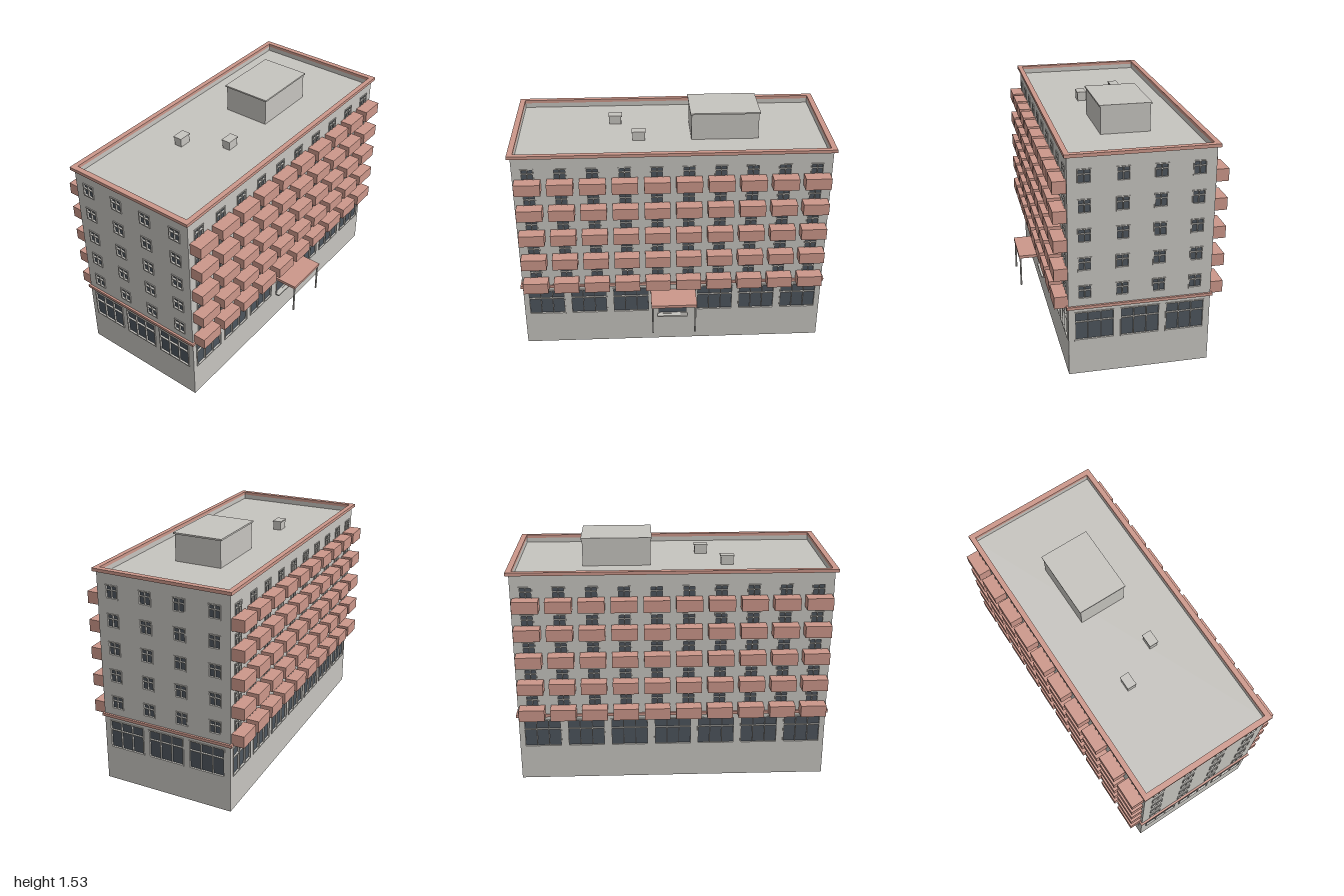
import * as THREE from 'three';

const mat = (name, color, side = THREE.FrontSide) => {
  const m = new THREE.MeshStandardMaterial({ color, side });
  m.name = name;
  return m;
};

const H = 1.38, HX = 0.98, HZ = 0.43, CZ = -0.05, ROOF = 1.35;
const FLOORS = [0, 1, 2, 3, 4].map((i) => i * 0.179);
const BAYS = Array.from({ length: 10 }, (_, i) => (i - 4.5) * 0.197);

// Traces a rectangle into a Shape or Path
function rect(path, x0, y0, x1, y1) {
  path.moveTo(x0, y0);
  path.lineTo(x1, y0);
  path.lineTo(x1, y1);
  path.lineTo(x0, y1);
  path.closePath();
  return path;
}

export function createModel() {
  const model = new THREE.Group();
  const plaster = mat('grey plaster', 0xc6c4bf);
  const shell = mat('grey wall shell', 0xc6c4bf, THREE.DoubleSide);
  const pink = mat('salmon trim', 0xcc978a);
  const glass = mat('dark glass', 0x4d555d, THREE.DoubleSide);

  const add = (parent, name, geo, material) => {
    const mesh = new THREE.Mesh(geo, material);
    mesh.name = name;
    parent.add(mesh);
    return mesh;
  };
  // Box given by its minimum and maximum corners
  const box = (parent, name, material, [x0, y0, z0], [x1, y1, z1]) => {
    const mesh = add(parent, name, new THREE.BoxGeometry(x1 - x0, y1 - y0, z1 - z0), material);
    mesh.position.set((x0 + x1) / 2, (y0 + y1) / 2, (z0 + z1) / 2);
    return mesh;
  };
  // Horizontal rectangular ring around the building
  const ring = (name, material, ox, oz, ix, iz, y0, y1) => {
    const s = rect(new THREE.Shape(), -ox, -oz, ox, oz);
    s.holes.push(rect(new THREE.Path(), -ix, -iz, ix, iz));
    const geo = new THREE.ExtrudeGeometry(s, { depth: y1 - y0, bevelEnabled: false });
    const mesh = add(model, name, geo.rotateX(-Math.PI / 2), material);
    mesh.position.set(0, y0, CZ);
  };

  // Frame with panes cut out, and a glass sheet behind it
  function addWindow(wall, w) {
    const { x, y0, y1, width, cols, transom } = w;
    const a = x - width / 2, b = x + width / 2, border = w.border ?? 0.007, bar = 0.005;
    const frame = rect(new THREE.Shape(), a, y0, b, y1);
    const pane = (b - a - 2 * border - (cols - 1) * bar) / cols;
    const rows = transom
      ? [[y0 + border, transom - bar / 2], [transom + bar / 2, y1 - border]]
      : [[y0 + border, y1 - border]];
    for (let c = 0; c < cols; c++) {
      const px = a + border + c * (pane + bar);
      for (const [p, q] of rows) frame.holes.push(rect(new THREE.Path(), px, p, px + pane, q));
    }
    const geo = new THREE.ExtrudeGeometry(frame, { depth: 0.012, bevelEnabled: false });
    add(wall, 'windowFrame', geo, plaster).position.z = -0.007;
    const sheet = add(wall, 'windowGlass', new THREE.PlaneGeometry(width, y1 - y0), glass);
    sheet.position.set(x, (y0 + y1) / 2, -0.0075);
  }

  // Wall sheet with window openings, facing local +z
  function addWall(name, half, windows, x, z, turn) {
    const wall = new THREE.Group();
    wall.name = name;
    const s = rect(new THREE.Shape(), -half, 0, half, H);
    for (const w of windows) {
      s.holes.push(rect(new THREE.Path(), w.x - w.width / 2, w.y0, w.x + w.width / 2, w.y1));
      addWindow(wall, w);
    }
    add(wall, 'wallSheet', new THREE.ShapeGeometry(s), shell);
    wall.position.set(x, 0, z);
    wall.rotation.y = turn;
    model.add(wall);
  }

  const ground = (x) => ({ x, y0: 0.227, y1: 0.418, width: 0.24, cols: 3, transom: 0.352 });
  const upper = (x, dy, bottom) => (
    { x, y0: bottom + dy, y1: 0.591 + dy, width: 0.082, cols: 2, transom: 0.558 + dy });
  const grid = (xs, bottom) => FLOORS.flatMap((dy) => xs.map((x) => upper(x, dy, bottom)));
  const balconyDoors = grid(BAYS, 0.455);
  const sideWindows = [
    ...[-0.275, 0, 0.275].map(ground),
    ...grid([-0.332, -0.11, 0.11, 0.332], 0.502),
  ];
  const entrance = { x: -0.003, y0: 0.198, y1: 0.372, width: 0.196, cols: 1, border: 0.008 };
  const flank = [-3, -2, -1, 1, 2, 3].map((k) => ground(k * 0.277));

  addWall('frontWall', HX, [...flank, entrance, ...balconyDoors], 0, CZ + HZ, 0);
  addWall('backWall', HX, [...flank, ground(0), ...balconyDoors], 0, CZ - HZ, Math.PI);
  addWall('leftWall', HZ, sideWindows, HX, CZ, Math.PI / 2);
  addWall('rightWall', HZ, sideWindows, -HX, CZ, -Math.PI / 2);

  // Balconies on both long sides
  for (const side of [1, -1]) {
    const balconies = new THREE.Group();
    balconies.name = side > 0 ? 'frontBalconies' : 'backBalconies';
    const z = CZ + side * (HZ + 0.04);
    for (const dy of FLOORS) for (const x of BAYS) {
      box(balconies, 'balcony', pink,
        [x - 0.08, 0.446 + dy, z - 0.04], [x + 0.08, 0.521 + dy, z + 0.04]);
    }
    model.add(balconies);
  }

  // Trim bands, parapet and roof
  ring('floorBand', pink, 0.993, 0.441, 0.979, 0.429, 0.441, 0.459);
  ring('cornice', pink, 1, 0.447, 0.965, 0.415, H, 1.4);
  ring('parapet', plaster, 0.979, 0.429, 0.965, 0.415, ROOF - 0.005, H);
  const roof = add(model, 'roof', new THREE.PlaneGeometry(1.94, 0.84).rotateX(-Math.PI / 2), shell);
  roof.position.set(0, ROOF, CZ);

  // Rooftop machine room and vents
  box(model, 'machineRoom', plaster, [0.13, ROOF, -0.205], [0.555, 1.52, 0.1]);
  box(model, 'machineRoomCap', plaster, [0.122, 1.52, -0.213], [0.562, 1.53, 0.108]);
  for (const [x, z] of [[-0.353, -0.185], [-0.203, 0.073]]) {
    box(model, 'roofVent', plaster, [x - 0.039, ROOF, z - 0.026], [x + 0.039, 1.402, z + 0.026]);
    box(model, 'roofVentCap', plaster, [x - 0.044, 1.402, z - 0.03], [x + 0.044, 1.41, z + 0.03]);
  }

  // Entrance canopy, posts and landing
  box(model, 'canopy', pink, [-0.147, 0.379, 0.38], [0.147, 0.398, 0.563]);
  for (const x of [-0.137, 0.137]) {
    const post = add(model, 'canopyPost', new THREE.CylinderGeometry(0.006, 0.006, 0.2, 12), plaster);
    post.position.set(x, 0.279, 0.553);
  }
  box(model, 'doorLanding', plaster, [-0.104, 0.194, 0.375], [0.098, 0.204, 0.41]);

  return model;
}
